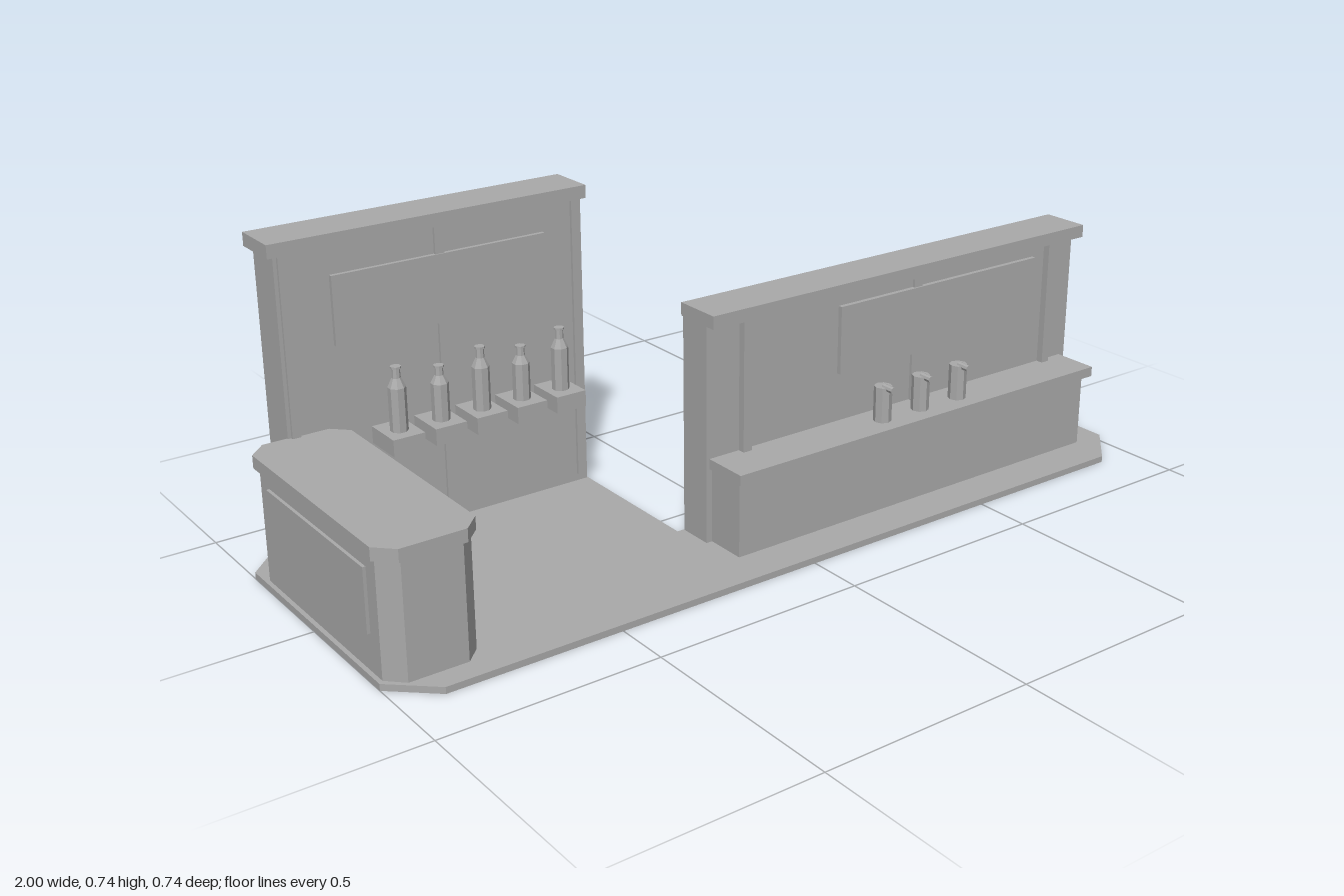
import * as THREE from 'three';

const grey = new THREE.MeshStandardMaterial({ color: 0xaaaaaa, flatShading: true });
grey.name = 'plain grey';

export function createModel() {
  const model = new THREE.Group();
  model.name = 'barStand';

  const add = (name, geometry, parent = model) => {
    const mesh = new THREE.Mesh(geometry, grey);
    mesh.name = name;
    parent.add(mesh);
    return mesh;
  };
  // Box given by its limits on each axis
  const box = (name, x0, x1, y0, y1, z0, z1, parent) => {
    const g = new THREE.BoxGeometry(x1 - x0, y1 - y0, z1 - z0);
    g.translate((x0 + x1) / 2, (y0 + y1) / 2, (z0 + z1) / 2);
    return add(name, g, parent);
  };
  // Flat slab from a plan outline of [x, z] points
  const slab = (name, points, y0, y1, parent) => {
    const shape = new THREE.Shape(points.map(([x, z]) => new THREE.Vector2(x, -z)));
    const g = new THREE.ExtrudeGeometry(shape, { depth: y1 - y0, bevelEnabled: false });
    g.rotateX(-Math.PI / 2).translate(0, y0, 0);
    return add(name, g, parent);
  };
  // Rectangle with cut corners
  const cutRect = (x0, x1, z0, z1, c) => [
    [x0, z0 + c], [x0 + c, z0], [x1 - c, z0], [x1, z0 + c],
    [x1, z1 - c], [x1 - c, z1], [x0 + c, z1], [x0, z1 - c],
  ];
  const group = (name) => {
    const g = new THREE.Group();
    g.name = name;
    model.add(g);
    return g;
  };

  // Floor platform
  slab('floor', [
    [-1, -0.285], [-0.915, -0.37], [-0.165, -0.37], [-0.165, 0.09], [1, 0.09],
    [1, 0.275], [0.905, 0.37], [-0.905, 0.37], [-1, 0.285],
  ], 0, 0.015);

  // Tall back wall with trim
  const back = group('backWall');
  box('backWallBody', -0.905, -0.167, 0.005, 0.705, -0.37, -0.275, back);
  box('backWallCap', -0.925, -0.165, 0.705, 0.735, -0.37, -0.254, back);
  for (const [x0, x1] of [[-0.897, -0.877], [-0.54, -0.518], [-0.195, -0.175]])
    box('backWallTrim', x0, x1, 0.033, 0.705, -0.276, -0.268, back);
  box('backWallSign', -0.785, -0.268, 0.485, 0.64, -0.276, -0.265, back);

  // Bottles on small shelves
  [-0.674, -0.572, -0.47, -0.368, -0.266].forEach((x, i) => {
    box('bottleShelf', x - 0.038, x + 0.038, 0.244, 0.283, -0.276, -0.176);
    const s = i % 2 ? 0.86 : 1;
    const profile = [[0, 0], [0.02, 0], [0.02, 0.1], [0.01, 0.121], [0.009, 0.142],
      [0.012, 0.142], [0.012, 0.147], [0, 0.147]].map(([r, y]) => new THREE.Vector2(r, y * s));
    const bottle = add('bottle', new THREE.LatheGeometry(profile, 8, Math.PI / 8));
    bottle.position.set(x, 0.283, -0.221);
  });

  // Side counter with cut corners
  const side = group('sideCounter');
  slab('sideCounterBody', cutRect(-0.99, -0.785, -0.268, 0.314, 0.036), 0.015, 0.273, side);
  slab('sideCounterTop', cutRect(-1, -0.776, -0.279, 0.322, 0.039), 0.273, 0.302, side);
  box('sideCounterPanel', -0.997, -0.989, 0.1, 0.242, -0.19, 0.24, side);

  // Lower front wall with trim
  const front = group('frontWall');
  box('frontWallBody', -0.148, 0.957, 0.005, 0.52, 0.092, 0.175, front);
  box('frontWallCap', -0.15, 0.965, 0.52, 0.55, 0.088, 0.203, front);
  for (const [x0, x1] of [[-0.06, -0.037], [0.863, 0.885]])
    box('frontWallPost', x0, x1, 0.2, 0.52, 0.174, 0.192, front);
  box('frontWallTrim', 0.438, 0.462, 0.2, 0.52, 0.174, 0.182, front);
  box('frontWallSign', 0.217, 0.824, 0.33, 0.49, 0.174, 0.186, front);

  // Serving counter in front of the lower wall
  const serving = group('servingCounter');
  box('servingCounterBody', -0.133, 0.92, 0.015, 0.19, 0.174, 0.273, serving);
  box('servingCounterTop', -0.14, 0.94, 0.19, 0.214, 0.174, 0.286, serving);

  // Taps with short spouts
  for (const x of [0.305, 0.42, 0.537]) {
    const tap = add('tap', new THREE.CylinderGeometry(0.021, 0.021, 0.084, 8), serving);
    tap.position.set(x, 0.256, 0.233);
    const spout = add('tapSpout', new THREE.CylinderGeometry(0.008, 0.008, 0.032, 8), serving);
    spout.rotation.x = Math.PI / 2;
    spout.position.set(x, 0.296, 0.252);
  }

  return model;
}
